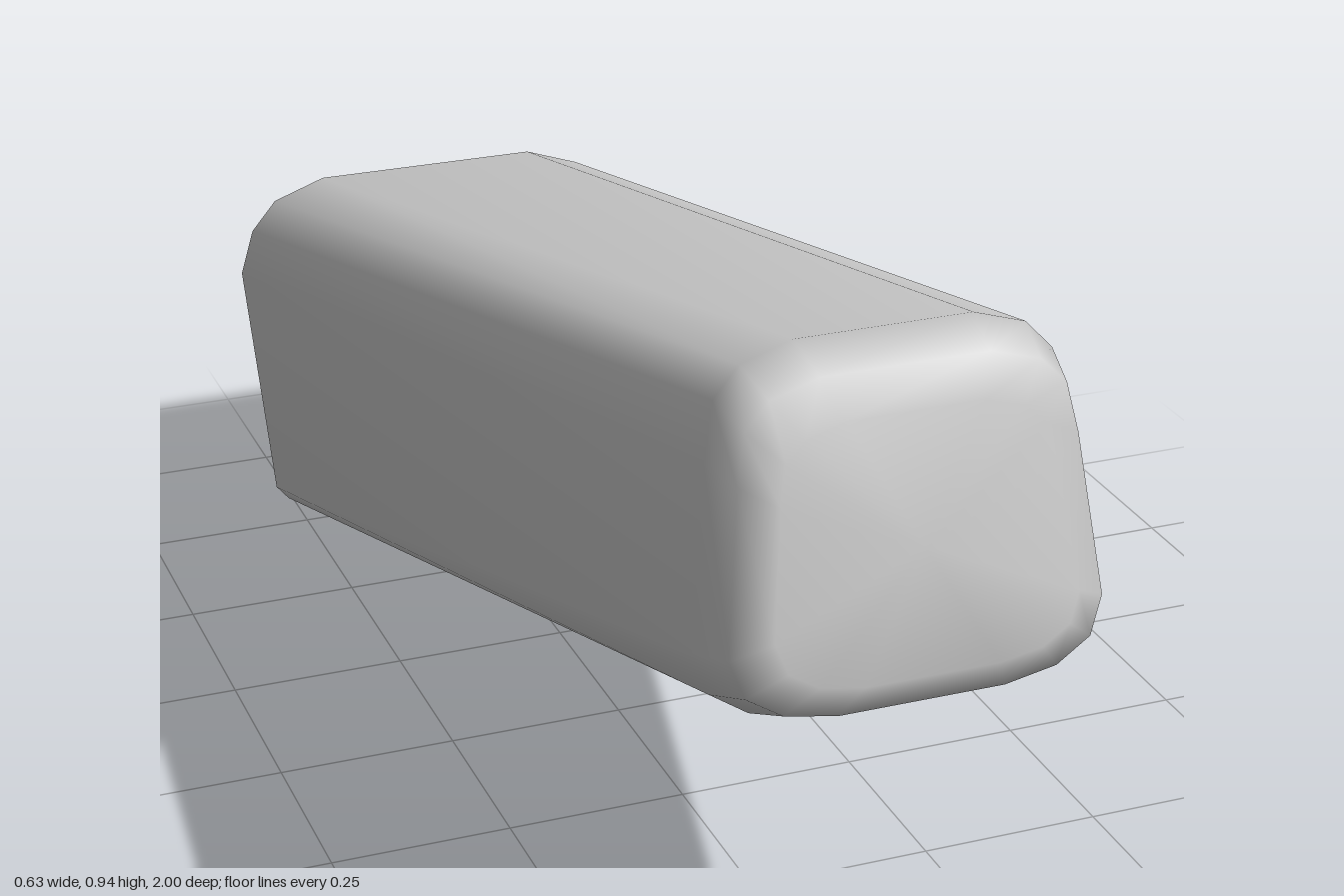
import * as THREE from 'three';

// Half outlines as [half width, height fraction], from top to bottom
const FRONT = [[.11, 1], [.175, .955], [.208, .875], [.221, .72], [.245, .22], [.227, .1], [.18, .03], [.11, 0]];
const BACK = [[.17, 1], [.25, .95], [.29, .87], [.313, .75], [.288, .09], [.27, .05], [.235, .02], [.17, 0]];

// Tilted sections, front to back: top and bottom as [z, y], width scale
const SECTIONS = [
  { outline: FRONT, top: [.93, .87], bottom: [1.0, .575], scale: .76 },
  { outline: FRONT, top: [.9, .913], bottom: [.975, .53], scale: .94 },
  { outline: FRONT, top: [.84, .935], bottom: [.9, .495], scale: 1 },
  { outline: BACK, top: [-.87, .53], bottom: [-.78, 0], scale: 1 },
  { outline: BACK, top: [-.95, .48], bottom: [-.835, .012], scale: .86 },
  { outline: BACK, top: [-1.0, .41], bottom: [-.87, .055], scale: .68 },
];

function ring({ outline, top, bottom, scale }) {
  const point = ([x, t], side) => new THREE.Vector3(
    side * x * scale,
    THREE.MathUtils.lerp(bottom[1], top[1], t),
    THREE.MathUtils.lerp(bottom[0], top[0], t));
  return [...outline.map(p => point(p, 1)), ...[...outline].reverse().map(p => point(p, -1))];
}

function loft(rings) {
  const n = rings[0].length, points = rings.flat(), index = [];
  for (let i = 0; i < rings.length - 1; i++) {
    for (let j = 0; j < n; j++) {
      const k = (j + 1) % n;
      const a = i * n + j, b = i * n + k, c = b + n, d = a + n;
      index.push(a, b, c, a, c, d);
    }
  }
  // End caps fan out from the middle of the first and last ring
  const addCap = (r, flip) => {
    const centre = new THREE.Vector3();
    rings[r].forEach(p => centre.addScaledVector(p, 1 / n));
    const m = points.push(centre) - 1;
    for (let j = 0; j < n; j++) {
      const a = r * n + j, b = r * n + (j + 1) % n;
      index.push(m, flip ? b : a, flip ? a : b);
    }
  };
  addCap(0, true);
  addCap(rings.length - 1, false);
  const geometry = new THREE.BufferGeometry().setFromPoints(points);
  geometry.setIndex(index);
  geometry.computeVertexNormals();
  return geometry;
}

export function createModel() {
  const group = new THREE.Group();
  group.name = 'taperedBlock';
  // Sloping block, wider at its low back end, with rounded edges
  const body = new THREE.Mesh(loft(SECTIONS.map(ring)), new THREE.MeshStandardMaterial({ color: 0xcccccc }));
  body.name = 'body';
  group.add(body);
  return group;
}
